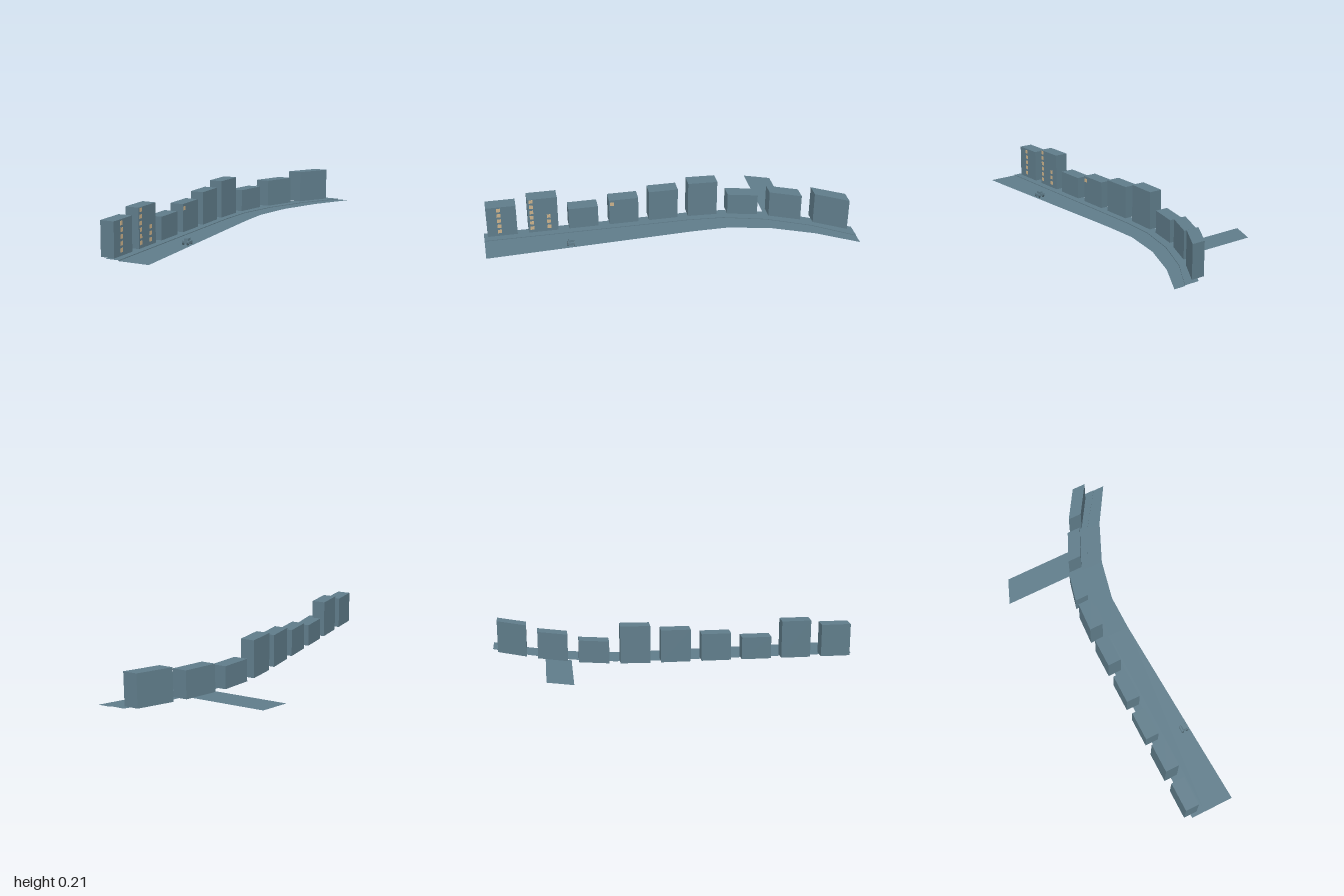
import * as THREE from 'three';

const slate = new THREE.MeshStandardMaterial({ color: 0x607d8b, side: THREE.DoubleSide });
slate.name = 'slate blue';
const glow = new THREE.MeshStandardMaterial({ color: 0xcdb38b });
glow.name = 'lit window tan';
const tyre = new THREE.MeshStandardMaterial({ color: 0x455a64 });
tyre.name = 'dark slate';

const KERB_H = 0.004;

// Street sections from front to back: z, outer pavement edge, kerb, far road edge
const SECTIONS = [
  [1, -0.062, 0.013, 0.18],
  [-0.13, -0.062, 0.013, 0.13],
  [-0.33, -0.05, 0.027, 0.13],
  [-0.56, 0.01, 0.09, 0.18],
  [-0.79, 0.12, 0.2, 0.28],
  [-1, 0.26, 0.345, 0.41],
];

// Buildings: front z, left x at front, left x at back, height, lit windows as [z, rows]
const BUILDINGS = [
  [0.98, -0.1, -0.1, 0.185, [[0.912, [0, 1, 2, 3, 4]]]],
  [0.755, -0.1, -0.1, 0.213, [[0.735, [0, 1, 2, 3, 4, 5]], [0.642, [0, 1, 2]]]],
  [0.533, -0.1, -0.1, 0.128, []],
  [0.308, -0.1, -0.1, 0.156, [[0.292, [3]]]],
  [0.085, -0.1, -0.1, 0.185, []],
  [-0.137, -0.1, -0.091, 0.213, []],
  [-0.36, -0.083, -0.043, 0.128, []],
  [-0.583, -0.017, 0.057, 0.156, []],
  [-0.807, 0.095, 0.2, 0.185, []],
];
const WIDTH = 0.076;
const DEPTH = 0.163;

function add(parent, name, geometry, material, x = 0, y = 0, z = 0) {
  const mesh = new THREE.Mesh(geometry, material);
  mesh.name = name;
  mesh.position.set(x, y, z);
  parent.add(mesh);
  return mesh;
}

// Strip of quads between two lines of points
function strip(a, b) {
  const pos = [];
  for (let i = 0; i + 1 < a.length; i++) {
    pos.push(...a[i], ...b[i], ...b[i + 1], ...a[i], ...b[i + 1], ...a[i + 1]);
  }
  const g = new THREE.BufferGeometry();
  g.setAttribute('position', new THREE.Float32BufferAttribute(pos, 3));
  g.computeVertexNormals();
  return g;
}

// Box whose back end is slid sideways to follow the street
function shearedBlock(xFront, xBack, height) {
  const g = new THREE.BoxGeometry(WIDTH, height, DEPTH).toNonIndexed();
  const p = g.attributes.position;
  for (let i = 0; i < p.count; i++) {
    p.setX(i, p.getX(i) + WIDTH / 2 + (p.getZ(i) > 0 ? xFront : xBack));
  }
  g.computeVertexNormals();
  return g;
}

function makeBuilding([zFront, xFront, xBack, top, windows]) {
  const group = new THREE.Group();
  group.name = 'building';
  const h = top - KERB_H;
  add(group, 'buildingBlock', shearedBlock(xFront, xBack, h), slate, 0, KERB_H + h / 2, zFront - DEPTH / 2);
  for (const [z, rows] of windows) {
    for (const row of rows) {
      add(group, 'litWindow', new THREE.BoxGeometry(0.002, 0.021, 0.021), glow,
        xFront + WIDTH, 0.032 + 0.0335 * row, z);
    }
  }
  return group;
}

function makeCar() {
  const car = new THREE.Group();
  car.name = 'car';
  add(car, 'carBody', new THREE.BoxGeometry(0.042, 0.014, 0.034), slate, 0, 0.015, 0);
  add(car, 'carCabin', new THREE.BoxGeometry(0.022, 0.013, 0.028), slate, 0, 0.0285, 0);
  for (const x of [-0.013, 0.013]) {
    for (const z of [-0.017, 0.017]) {
      const wheel = add(car, 'wheel', new THREE.CylinderGeometry(0.006, 0.006, 0.006, 10), tyre, x, 0.007, z);
      wheel.rotation.x = Math.PI / 2;
    }
  }
  car.position.set(0.131, 0, 0.542);
  return car;
}

export function createModel() {
  const model = new THREE.Group();
  model.name = 'streetScene';

  // Main street: pavement, kerb face and carriageway
  const line = (column, y) => SECTIONS.map((s) => [s[column], y, s[0]]);
  add(model, 'pavement', strip(line(1, KERB_H), line(2, KERB_H)), slate);
  add(model, 'kerb', strip(line(2, KERB_H), line(2, 0)), slate);
  add(model, 'road', strip(line(2, 0), line(3, 0)), slate);

  // Side street
  add(model, 'sideStreet', strip(
    [[-0.41, 0, -0.563], [-0.353, 0, -0.705]],
    [[0.012, 0, -0.563], [0.08, 0, -0.705]],
  ), slate);

  for (const b of BUILDINGS) model.add(makeBuilding(b));
  model.add(makeCar());
  return model;
}
